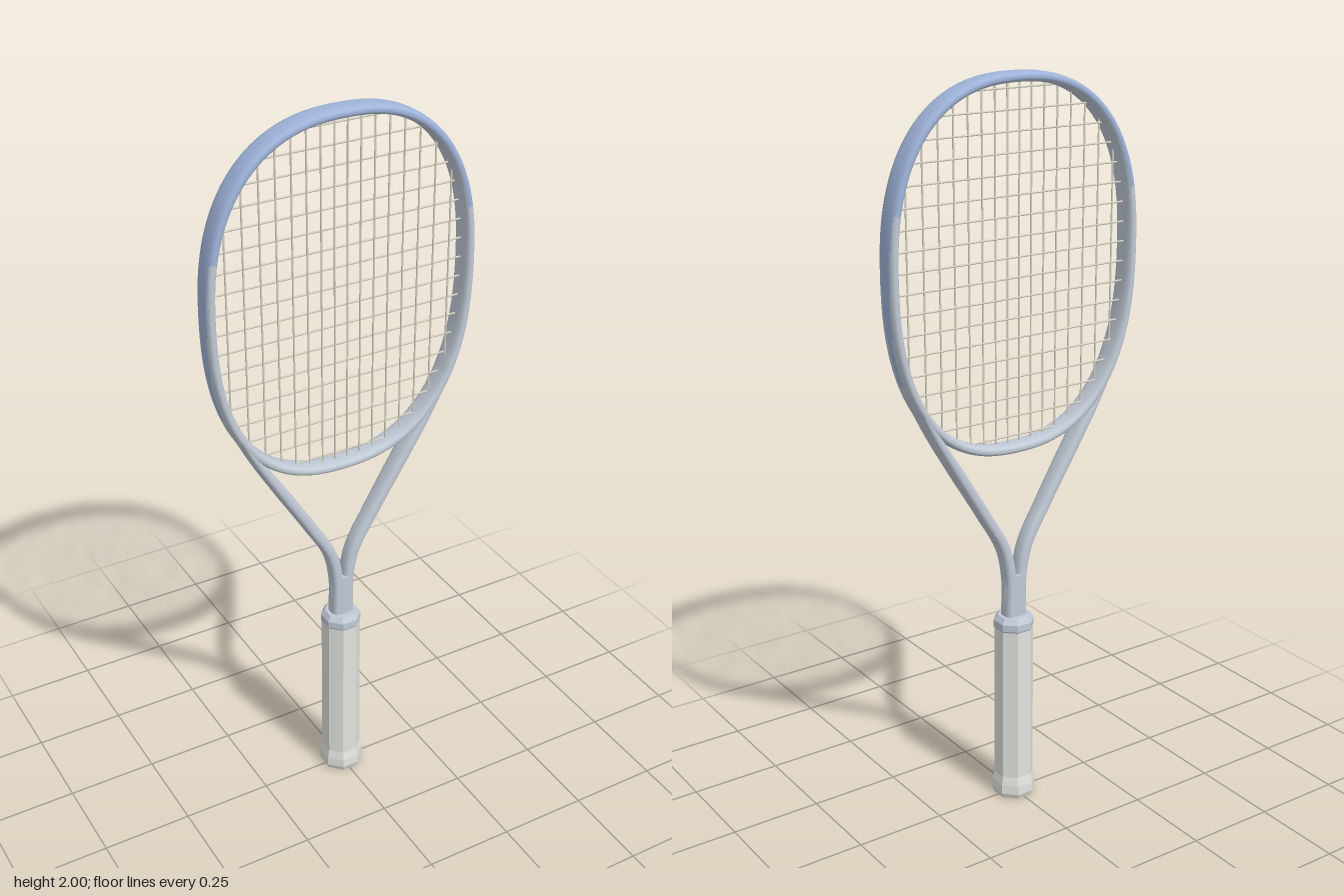
import * as THREE from 'three';

const mat = (name, color) => {
  const m = new THREE.MeshStandardMaterial({ color });
  m.name = name;
  return m;
};

// Sweeps a rounded section along a curve in the XY plane; size(y) gives [half width, half depth].
// isAccent(cos, sin, y) picks material group 1 for a face.
function sweep(curve, steps, closed, size, isAccent = () => false) {
  const R = 32, pos = [], plain = [], accent = [];
  const round = (v) => Math.sign(v) * Math.pow(Math.abs(v), 0.75);
  for (let i = 0; i < steps + (closed ? 0 : 1); i++) {
    const p = curve.getPointAt(i / steps), t = curve.getTangentAt(i / steps);
    const [a, b] = size(p.y);
    for (let j = 0; j < R; j++) {
      const q = (j / R) * Math.PI * 2;
      const w = a * round(Math.cos(q));
      pos.push(p.x - t.y * w, p.y + t.x * w, b * round(Math.sin(q)));
    }
  }
  const rows = pos.length / 3 / R;
  for (let i = 0; i < steps; i++) {
    const y = curve.getPointAt((i + 0.5) / steps).y;
    for (let j = 0; j < R; j++) {
      const q = ((j + 0.5) / R) * Math.PI * 2;
      const i2 = (i + 1) % rows, j2 = (j + 1) % R;
      const A = i * R + j, B = i * R + j2, C = i2 * R + j2, D = i2 * R + j;
      (isAccent(Math.cos(q), Math.sin(q), y) ? accent : plain).push(A, B, D, B, C, D);
    }
  }
  const g = new THREE.BufferGeometry();
  g.setAttribute('position', new THREE.Float32BufferAttribute(pos, 3));
  g.setIndex([...plain, ...accent]);
  g.addGroup(0, plain.length, 0);
  g.addGroup(plain.length, accent.length, 1);
  g.computeVertexNormals();
  return g;
}

// Eight-sided turned part with flats facing front, back and sides; points are [apothem, y]
function octagon(points) {
  const k = 1 / Math.cos(Math.PI / 8);
  const g = new THREE.LatheGeometry(points.map(([r, y]) => new THREE.Vector2(r * k, y)), 8, Math.PI / 8);
  const flat = g.toNonIndexed();
  flat.computeVertexNormals();
  return flat;
}

export function createModel() {
  const group = new THREE.Group();
  const silver = mat('silver', 0xc0cad6);
  const blue = mat('blue', 0x9fb4da);
  const gripGrey = mat('gripGrey', 0xe2e2de);
  const stringCream = mat('stringCream', 0xdad7c6);
  const add = (name, geometry, material) => {
    const m = new THREE.Mesh(geometry, material);
    m.name = name;
    group.add(m);
    return m;
  };

  // Hoop: squared-off oval, clockwise from the top
  const power = (v) => Math.sign(v) * Math.pow(Math.abs(v), 2 / 2.4);
  const outline = Array.from({ length: 32 }, (_, i) => {
    const a = (i / 32) * Math.PI * 2, c = Math.cos(a);
    return new THREE.Vector3(0.365 * power(Math.sin(a)), 1.54 + (c > 0 ? 0.447 : 0.507) * power(c), 0);
  });
  const hoopCurve = new THREE.CatmullRomCurve3(outline, true);
  const depth = (y) => THREE.MathUtils.lerp(0.025, 0.034, THREE.MathUtils.smoothstep(y, 0.7, 1.35));
  // Blue crown that runs down each outer side as a narrowing wedge
  const crown = (c, s, y) => (y > 1.69 ? c > -0.4 : c > 0 && Math.abs(s) < 0.78 * (y - 1.2) / 0.49);
  add('hoop', sweep(hoopCurve, 192, true, (y) => [0.0135, depth(y)], crown), [silver, blue]);

  // Throat arms, running tangentially into the hoop
  const armPath = [[0.0165, 0.54], [0.0165, 0.66], [0.036, 0.75], [0.095, 0.855], [0.19, 1.01],
    [0.25, 1.108], [0.298, 1.2], [0.325, 1.265]];
  const armWidth = (y) => THREE.MathUtils.lerp(0.0165, 0.0115, THREE.MathUtils.smoothstep(y, 0.95, 1.2));
  for (const side of [1, -1]) {
    const curve = new THREE.CatmullRomCurve3(armPath.map(([x, y]) => new THREE.Vector3(side * x, y, 0)));
    add(side > 0 ? 'leftThroatArm' : 'rightThroatArm',
      sweep(curve, 60, false, (y) => [armWidth(y), depth(y) - 0.001]), [silver, blue]);
  }

  // Shaft
  const shaft = add('shaft', new THREE.CylinderGeometry(1, 1, 0.14, 32), silver);
  shaft.scale.set(0.033, 1, 0.026);
  shaft.position.y = 0.6;

  // Grip with flared butt, and collar
  add('grip', octagon([[0, 0], [0.052, 0], [0.057, 0.014], [0.056, 0.04], [0.051, 0.065], [0.05, 0.512]]), gripGrey);
  add('collar', octagon([[0.05, 0.512], [0.052, 0.516], [0.052, 0.535], [0.042, 0.55], [0, 0.55]]), silver);

  // Strings, each cut to the hoop outline
  const rim = hoopCurve.getSpacedPoints(240);
  const span = (axis, value) => {
    const other = axis === 'x' ? 'y' : 'x', hits = [];
    for (let i = 0; i < rim.length - 1; i++) {
      const p = rim[i], q = rim[i + 1];
      if ((p[axis] - value) * (q[axis] - value) <= 0 && p[axis] !== q[axis]) {
        hits.push(p[other] + (q[other] - p[other]) * (value - p[axis]) / (q[axis] - p[axis]));
      }
    }
    return [Math.min(...hits), Math.max(...hits)];
  };
  const strings = new THREE.Group();
  strings.name = 'strings';
  group.add(strings);
  const addString = (name, axis, value) => {
    const [lo, hi] = span(axis, value), mid = (lo + hi) / 2;
    const m = new THREE.Mesh(new THREE.CylinderGeometry(0.0025, 0.0025, hi - lo, 6), stringCream);
    m.name = name;
    if (axis === 'x') m.position.set(value, mid, 0.0015);
    else {
      m.rotation.z = Math.PI / 2;
      m.position.set(mid, value, -0.0015);
    }
    strings.add(m);
  };
  for (let i = 0; i < 8; i++) {
    const x = 0.018 + 0.036 * i + 0.0009 * i * i;
    addString('mainString', 'x', x);
    addString('mainString', 'x', -x);
  }
  for (let i = 0; i < 18; i++) addString('crossString', 'y', 1.064 + 0.0527 * i);

  return group;
}
